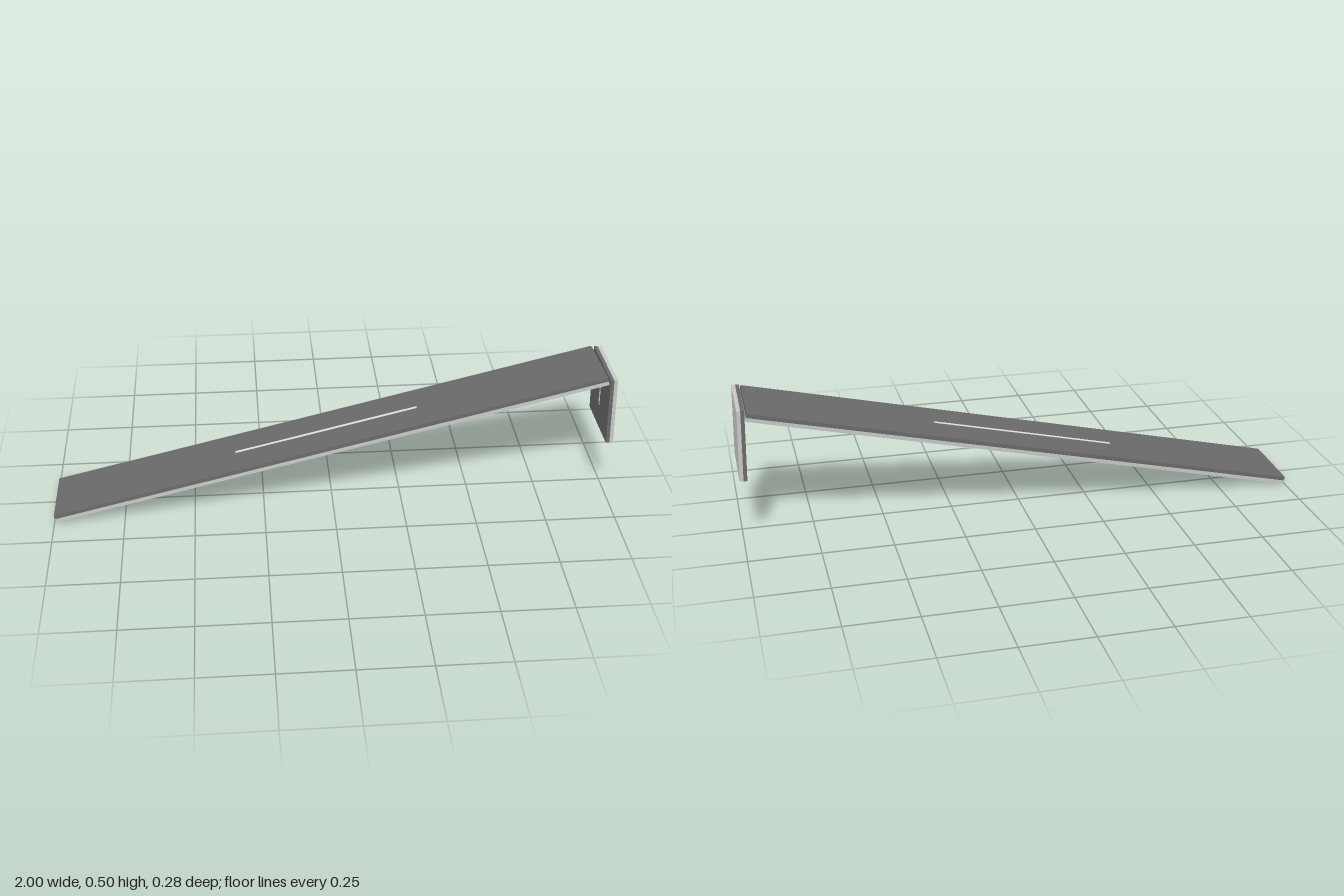
import * as THREE from 'three';

export function createModel() {
  const model = new THREE.Group();
  const makeMaterial = (name, color) => {
    const material = new THREE.MeshStandardMaterial({ color });
    material.name = name;
    return material;
  };
  const dark = makeMaterial('dark grey', 0x6a6a6a);
  const light = makeMaterial('light grey', 0xc8c8c8);
  const pale = makeMaterial('pale grey', 0xe0e0e0);

  // Two-layer slab: x along its length, y through its thickness, z across its width
  function slab(name, length, thickness, width) {
    const group = new THREE.Group();
    group.name = name;
    const add = (part, size, y, material) => {
      const mesh = new THREE.Mesh(new THREE.BoxGeometry(...size), material);
      mesh.name = part;
      mesh.position.y = y;
      group.add(mesh);
    };
    add('faceLayer', [length, thickness / 2, width], thickness / 4, dark);
    add('backLayer', [length, thickness / 2, width], -thickness / 4, light);
    // Thin centre line over the middle third of the face
    add('centreLine', [length / 3, 0.002, 0.012], thickness / 2, pale);
    model.add(group);
    return group;
  }

  // Orient a slab from its length direction and approximate width direction
  function orient(group, along, across) {
    const x = along.clone().normalize();
    const y = across.clone().cross(x).normalize();
    const z = x.clone().cross(y);
    group.quaternion.setFromRotationMatrix(new THREE.Matrix4().makeBasis(x, y, z));
  }

  // Long sloping plank, turned and rolled slightly
  const plank = slab('plank', 2.014, 0.028, 0.254);
  plank.position.set(-0.0165, 0.249, 0);
  orient(plank, new THREE.Vector3(1.96, 0.461, -0.029), new THREE.Vector3(0.007, 0.032, 1));

  // Short end panel hanging from the high end, light on its outer side
  const panel = slab('endPanel', 0.254, 0.026, 0.255);
  panel.position.set(0.983, 0.368, 0);
  orient(panel, new THREE.Vector3(0.03, -1, 0), new THREE.Vector3(0, 0, -1));

  return model;
}
